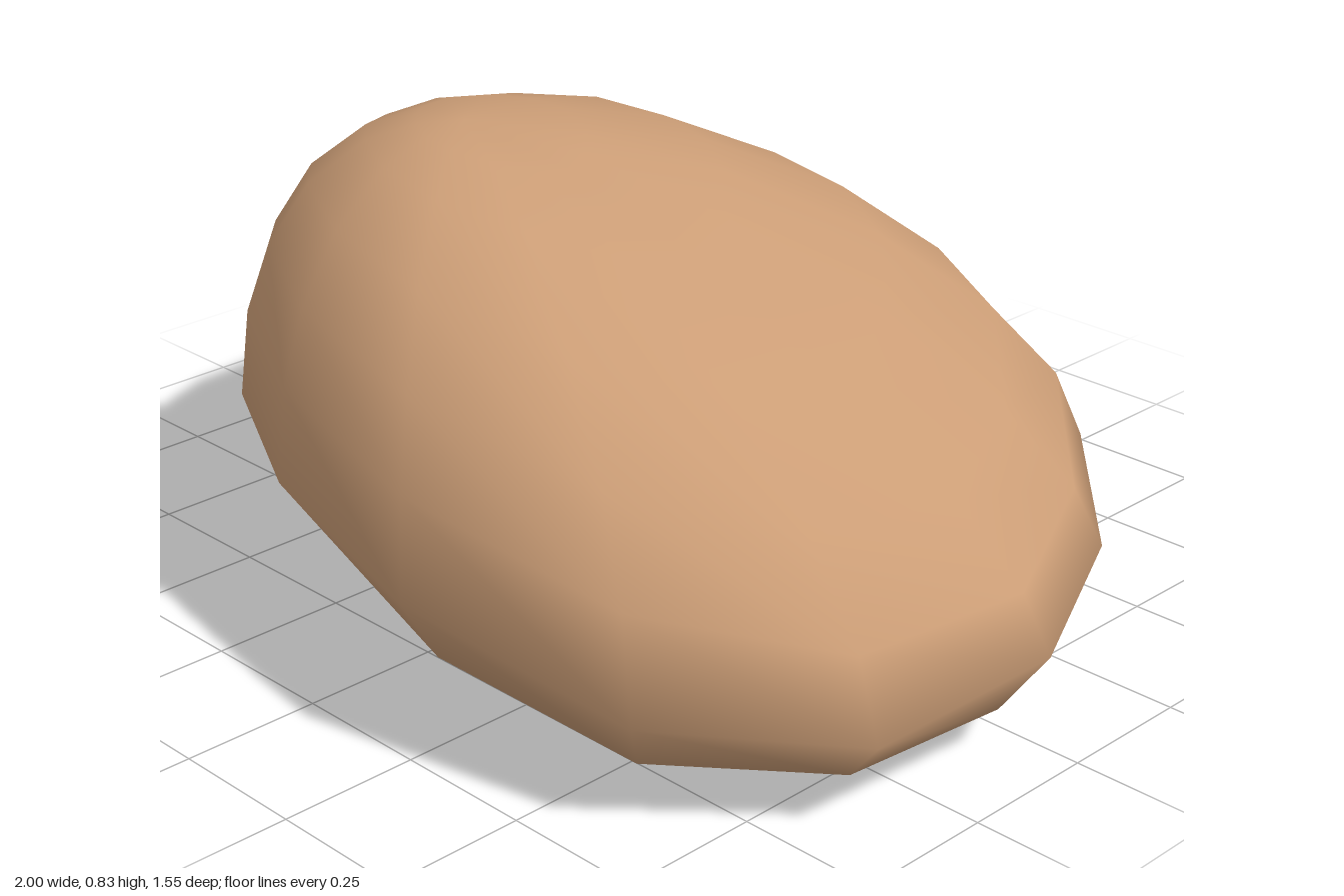
import * as THREE from 'three';

// Widest girth of the stone: x, y, z, going left, back, right, front
const girth = [
  [-1, 0.1, -0.32], [-0.82, 0.12, -0.61], [-0.46, 0.21, -0.78], [-0.03, 0.24, -0.77],
  [0.34, 0.28, -0.64], [0.64, 0.32, -0.45], [0.87, 0.27, -0.21], [1, 0.23, 0.09],
  [0.94, 0.18, 0.42], [0.68, 0.21, 0.68], [0.27, 0.3, 0.775], [-0.14, 0.34, 0.69],
  [-0.48, 0.34, 0.51], [-0.76, 0.26, 0.28], [-0.96, 0.09, 0],
];
const crown = [-0.22, 0.84, 0.2];
const base = [0, 0.005, -0.1];

// Rings above the girth (share of the way out from the crown)
const upperRings = [0.2, 0.42, 0.67, 0.85, 0.955, 1];
// Rings below it: share of the way out from the base, share of the drop, loss of drop where undercut
const lowerRings = [[0.89, 0.65, 0.37], [0.62, 0.98, 0.27]];

const lerp = THREE.MathUtils.lerp;

// How far the direction from a centre to a girth point agrees with (ax, az), 0 to 1
function facing(x, z, centre, ax, az) {
  const dx = x - centre[0], dz = z - centre[2];
  return Math.max(0, (dx * ax + dz * az) / Math.hypot(dx, dz));
}

function stoneGeometry() {
  const n = girth.length;
  const positions = [...crown];

  // Domed top: full in front, leaner behind and left, a long slope to the right
  for (const r of upperRings) {
    for (const [x, y, z] of girth) {
      const toRight = facing(x, z, crown, 0.98, -0.17) ** 6;
      const p = lerp(2 + 0.5 * facing(x, z, crown, 0, 1), 1.52, toRight);
      const q = lerp(1.97 - 0.42 * facing(x, z, crown, -0.45, -0.89), 1.4, toRight);
      const rise = Math.pow(Math.max(0, 1 - Math.pow(r, p)), 1 / q);
      positions.push(lerp(crown[0], x, r), lerp(y, crown[1], rise), lerp(crown[2], z, r));
    }
  }
  // Underside, flat in the middle and undercut at the front left and slightly at the back right
  for (const [r, drop, loss] of lowerRings) {
    for (const [x, y, z] of girth) {
      const undercut = facing(x, z, base, -0.5, 0.87) ** 2 + 0.2 * facing(x, z, base, 0.5, -0.87) ** 2;
      positions.push(lerp(base[0], x, r), lerp(y, base[1], drop - loss * undercut), lerp(base[2], z, r));
    }
  }
  positions.push(...base);

  // Caps at crown and base, quads between rings
  const rings = upperRings.length + lowerRings.length;
  const last = positions.length / 3 - 1;
  const index = [];
  for (let i = 0; i < n; i++) {
    const j = (i + 1) % n;
    index.push(0, 1 + j, 1 + i);
    for (let k = 0; k < rings - 1; k++) {
      const a = 1 + k * n, b = a + n;
      index.push(a + i, a + j, b + i, a + j, b + j, b + i);
    }
    const e = 1 + (rings - 1) * n;
    index.push(e + i, e + j, last);
  }

  const geometry = new THREE.BufferGeometry();
  geometry.setAttribute('position', new THREE.Float32BufferAttribute(positions, 3));
  geometry.setIndex(index);
  geometry.computeVertexNormals();
  return geometry;
}

export function createModel() {
  const group = new THREE.Group();
  group.name = 'rock';
  const brownStone = new THREE.MeshStandardMaterial({ color: 0xcb9d76 });
  brownStone.name = 'brown stone';
  const stone = new THREE.Mesh(stoneGeometry(), brownStone);
  stone.name = 'stone';
  group.add(stone);
  return group;
}
